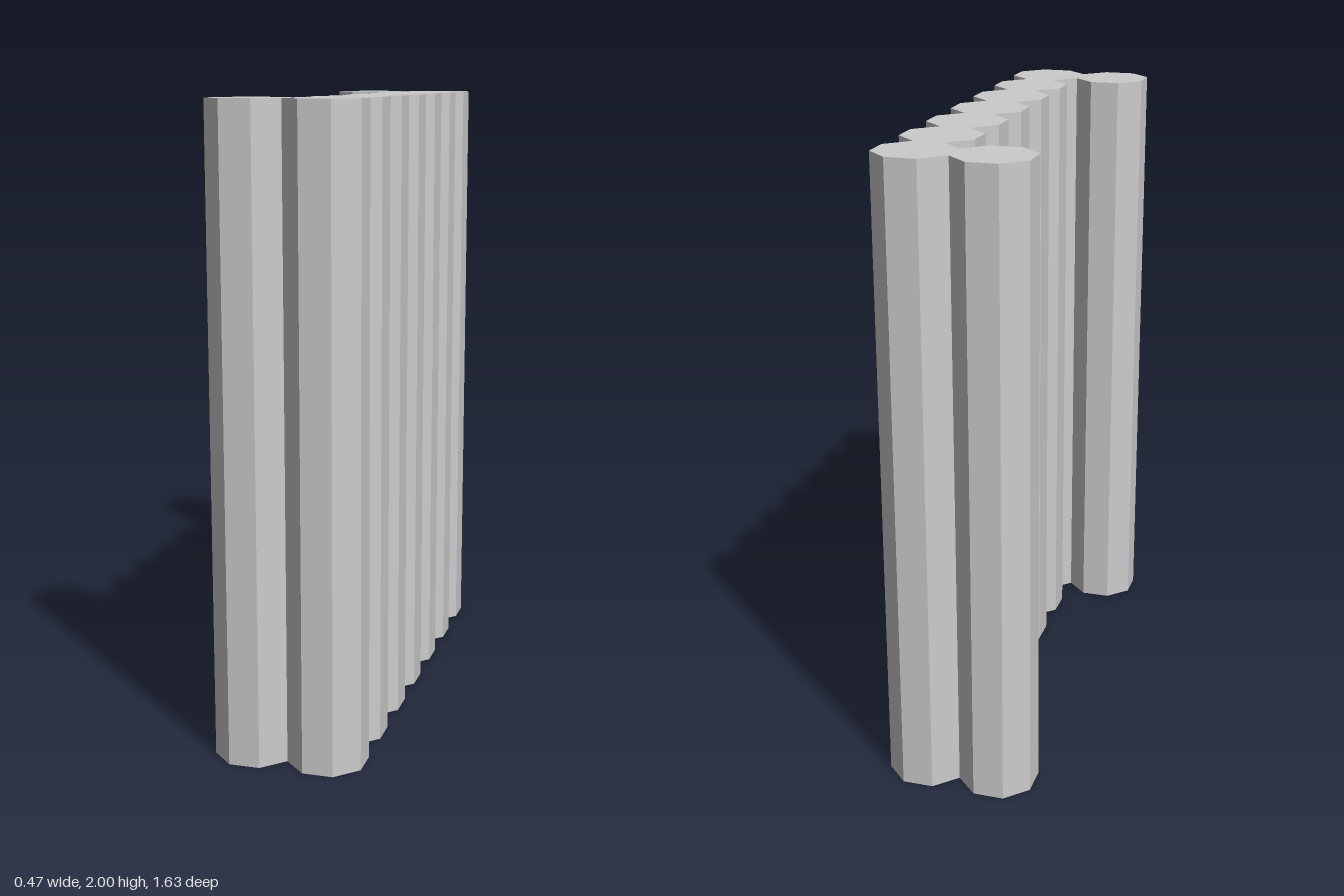
import * as THREE from 'three';

const HEIGHT = 2;
const A = 0.1165;                      // octagon centre to flat side
const B = A * Math.tan(Math.PI / 8);   // half an octagon side
const END = 3;                         // columns run from -END to END

// Outline of a row of touching octagonal columns with one more at each end
function wallOutline() {
  const zAt = (i) => i * 2 * A;
  const z = zAt(END);
  const points = [[A + B, -z - A]];

  // outer face of the row
  for (let i = -END; i <= END; i++) {
    points.push([2 * A, zAt(i) - B], [2 * A, zAt(i) + B], [A + B, zAt(i) + A]);
  }

  // end wrapping around the side column
  const end = [
    [A - B, z + A], [0, z + B], [B - A, z + A], [-A - B, z + A],
    [-2 * A, z + B], [-2 * A, z - B],
    [-A - B, z - A], [B - A, z - A], [0, z - B], [A - B, z - A],
  ];
  points.push(...end);

  // inner face of the row
  for (let i = END - 1; i > -END; i--) {
    points.push([0, zAt(i) + B], [0, zAt(i) - B], [A - B, zAt(i) - A]);
  }

  // mirrored end, without the corner already placed
  points.push(...end.map(([px, pz]) => [px, -pz]).reverse().slice(1));
  return points.map(([px, pz]) => new THREE.Vector2(px, pz));
}

export function createModel() {
  const group = new THREE.Group();
  group.name = 'columnWall';

  const geometry = new THREE.ExtrudeGeometry(new THREE.Shape(wallOutline()), {
    depth: HEIGHT,
    bevelEnabled: false,
  });
  geometry.rotateX(-Math.PI / 2);

  const material = new THREE.MeshStandardMaterial({ color: 0xcccccc, flatShading: true });
  const wall = new THREE.Mesh(geometry, material);
  wall.name = 'octagonalColumns';
  group.add(wall);
  return group;
}
